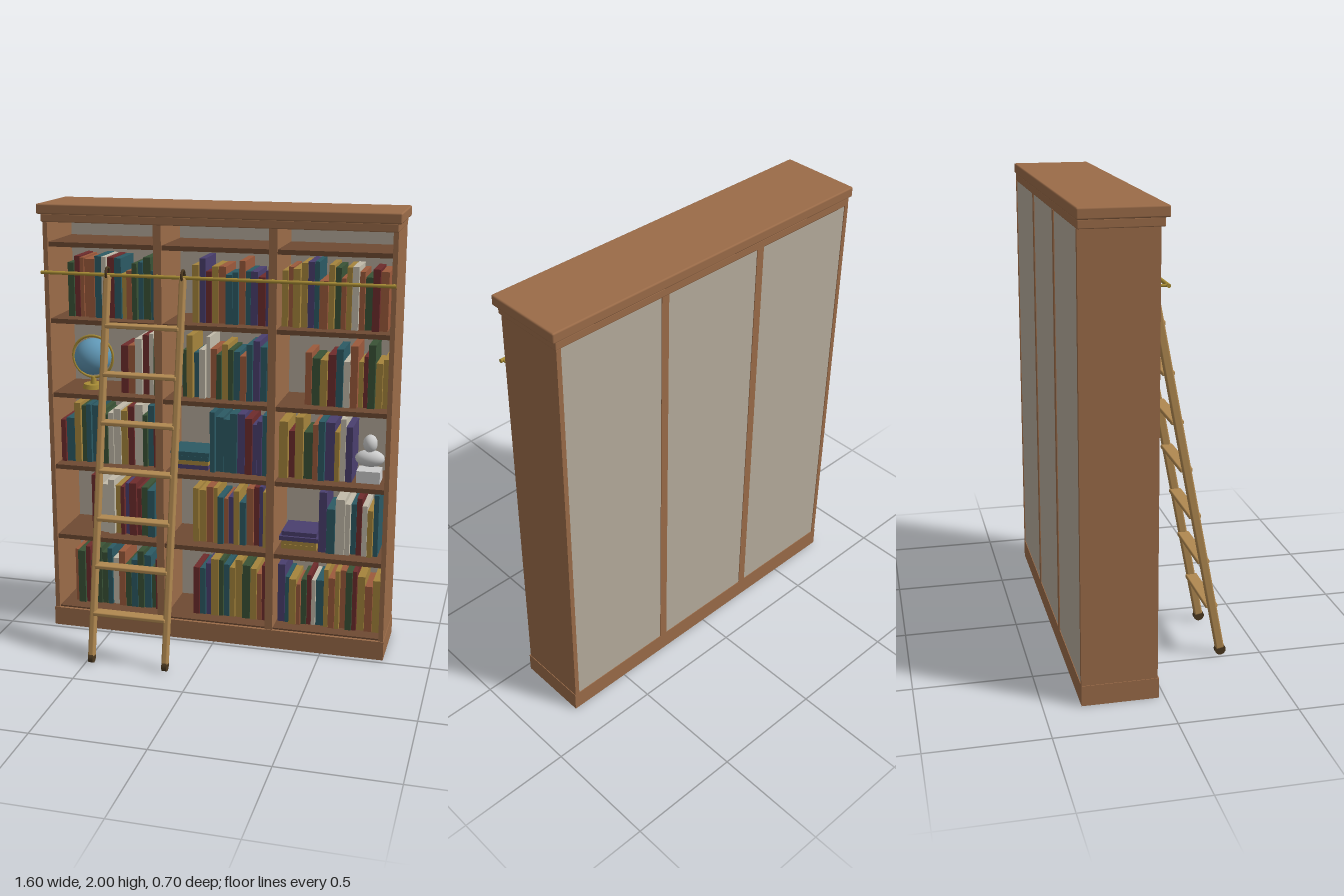
import * as THREE from 'three';
import { RoundedBoxGeometry } from 'three/addons/geometries/RoundedBoxGeometry.js';

const mat = (color) => new THREE.MeshStandardMaterial({ color });
const wood = mat(0x9a6b48), shelfWood = mat(0x6e4a32), panelGrey = mat(0xb5ab9b);
const ladderWood = mat(0xb08850), brass = mat(0xa88c35), darkMetal = mat(0x4a3820);
const stone = mat(0xcccccc), ocean = mat(0x5f96b4);
const covers = {
  r: mat(0x6e2c2c), o: mat(0x9c5a3c), y: mat(0xa5843c), g: mat(0x3a5236),
  t: mat(0x2c5a64), n: mat(0x4a3f6e), w: mat(0xc2bbaa),
};

const unitBox = new THREE.BoxGeometry(1, 1, 1);

function add(parent, name, geometry, material, x = 0, y = 0, z = 0) {
  const mesh = new THREE.Mesh(geometry, material);
  mesh.name = name;
  mesh.position.set(x, y, z);
  parent.add(mesh);
  return mesh;
}

// Box given by its limits on each axis
function box(parent, name, material, x0, x1, y0, y1, z0, z1) {
  const mesh = add(parent, name, unitBox, material, (x0 + x1) / 2, (y0 + y1) / 2, (z0 + z1) / 2);
  mesh.scale.set(x1 - x0, y1 - y0, z1 - z0);
  return mesh;
}

let seed = 7;
function rand(min, max) {
  seed = (seed * 16807) % 2147483647;
  return min + (max - min) * (seed / 2147483647);
}

const BACK = -0.345, FRONT = -0.03;
const bays = [[-0.763, -0.275], [-0.239, 0.239], [0.275, 0.763]];
const floors = [0.095, 0.457, 0.8, 1.143, 1.486, 1.83];

function createCabinet() {
  const g = new THREE.Group();
  g.name = 'cabinet';
  box(g, 'plinth', wood, -0.787, 0.787, 0, 0.088, BACK, -0.025);
  for (const s of [-1, 1]) {
    add(g, 'sidePanel', new THREE.BoxGeometry(0.021, 1.836, FRONT - BACK), wood, s * 0.7735, 1.004, (FRONT + BACK) / 2);
    add(g, 'divider', new THREE.BoxGeometry(0.036, 1.836, FRONT - BACK), wood, s * 0.257, 1.004, (FRONT + BACK) / 2);
  }
  add(g, 'corniceMoulding', new RoundedBoxGeometry(1.572, 0.037, 0.332, 2, 0.005), wood, 0, 1.938, -0.179);
  add(g, 'corniceTop', new RoundedBoxGeometry(1.6, 0.045, 0.353, 2, 0.007), wood, 0, 1.9775, -0.1735);
  for (const [x0, x1] of bays) {
    box(g, 'backPanel', panelGrey, x0, x1, 0.088, 1.92, -0.342, -0.33);
    for (const y of floors) box(g, 'shelf', shelfWood, x0, x1, y - 0.021, y, -0.33, -0.04);
  }
  return g;
}

// Row of upright books; each letter is a cover colour
function bookRow(parent, y, x0, x1, colours) {
  const widths = [...colours].map(() => rand(0.7, 1.4));
  const unit = (x1 - x0) / widths.reduce((a, b) => a + b);
  let x = x0;
  widths.forEach((w, i) => {
    const front = -0.1 - rand(0, 0.025);
    box(parent, 'book', covers[colours[i]], x, x + w * unit - 0.002, y, y + rand(0.2, 0.29), front - 0.18, front);
    x += w * unit;
  });
}

// Pile of books lying flat
function bookStack(parent, y, x0, x1, colours) {
  [...colours].forEach((c, i) => {
    const inset = rand(0, 0.015);
    box(parent, 'stackedBook', covers[c], x0 + inset, x1 - inset, y + i * 0.021, y + i * 0.021 + 0.02, -0.29 + inset, -0.11 - inset);
  });
}

function createBooks() {
  const g = new THREE.Group();
  g.name = 'books';
  const rows = [
    [0, -0.71, -0.28, 'ogrgggtwogtgtgr'], [0, -0.12, 0.236, 'rtnygtyygyor'], [0, 0.28, 0.757, 'ntyogrwtyoyogryoy'],
    [1, -0.62, -0.285, 'rwwwyrnrrgtn'], [1, -0.12, 0.236, 'yyoytonytorny'], [1, 0.465, 0.735, 'ntwwtrwyt'],
    [2, -0.755, -0.28, 'rtygttggwwyrwgtr'], [2, -0.04, 0.236, 'ttttnrnnt'], [2, 0.28, 0.61, 'yrygotnywn'],
    [3, -0.46, -0.28, 'rowrwg'], [3, -0.17, 0.238, 'gytwwogygtotntt'], [3, 0.39, 0.757, 'ogyrtwoyrgyy'],
    [4, -0.705, -0.28, 'groootwrtyogtgt'], [4, -0.12, 0.238, 'ynryottotnrn'], [4, 0.28, 0.745, 'yoyyntoygoywogro'],
  ];
  for (const [row, x0, x1, colours] of rows) bookRow(g, floors[row], x0, x1, colours);
  bookStack(g, floors[1], 0.283, 0.465, 'yynn');
  bookStack(g, floors[2], -0.238, -0.04, 'nytt');
  return g;
}

function createGlobe() {
  const g = new THREE.Group();
  g.name = 'globe';
  add(g, 'globeBase', new THREE.CylinderGeometry(0.045, 0.052, 0.02, 24), brass, 0, 0.01);
  add(g, 'globeStem', new THREE.CylinderGeometry(0.01, 0.016, 0.035, 16), brass, 0, 0.035);
  add(g, 'globeRing', new THREE.TorusGeometry(0.097, 0.006, 8, 40), brass, 0, 0.147);
  add(g, 'globeBall', new THREE.SphereGeometry(0.085, 32, 20), ocean, 0, 0.147);
  const axle = add(g, 'globeAxle', new THREE.CylinderGeometry(0.004, 0.004, 0.195, 8), brass, 0, 0.147);
  axle.rotation.z = 0.4;
  g.position.set(-0.618, floors[3], -0.18);
  return g;
}

function createBust() {
  const g = new THREE.Group();
  g.name = 'bust';
  add(g, 'bustBase', new THREE.BoxGeometry(0.105, 0.055, 0.09), stone, 0, 0.0275);
  add(g, 'bustNeck', new THREE.CylinderGeometry(0.018, 0.026, 0.05, 16), stone, 0, 0.135);
  const ball = new THREE.SphereGeometry(1, 24, 16);
  add(g, 'bustShoulders', ball, stone, 0, 0.105).scale.set(0.066, 0.038, 0.042);
  add(g, 'bustHead', ball, stone, 0, 0.173).scale.set(0.032, 0.04, 0.036);
  g.position.set(0.68, floors[2], -0.16);
  return g;
}

function createRail() {
  const g = new THREE.Group();
  g.name = 'ladderRail';
  add(g, 'rail', new THREE.CylinderGeometry(0.008, 0.008, 1.57, 16), brass, 0, 1.7, 0).rotation.z = Math.PI / 2;
  for (const x of [-0.773, -0.257, 0.257, 0.773]) {
    add(g, 'railBracket', new THREE.CylinderGeometry(0.006, 0.006, 0.032, 10), brass, x, 1.7, -0.016).rotation.x = Math.PI / 2;
  }
  return g;
}

function createLadder() {
  const g = new THREE.Group();
  g.name = 'ladder';
  const bottom = { y: 0.03, z: 0.325 }, top = { y: 1.7, z: 0.003 };
  const dy = top.y - bottom.y, dz = top.z - bottom.z;
  for (const x of [-0.474, -0.131]) {
    const stile = add(g, 'stile', new RoundedBoxGeometry(0.028, Math.hypot(dy, dz), 0.038, 2, 0.008), ladderWood,
      x, (top.y + bottom.y) / 2, (top.z + bottom.z) / 2);
    stile.rotation.x = Math.atan2(dz, dy);
    add(g, 'footWheel', new THREE.CylinderGeometry(0.024, 0.024, 0.022, 20), darkMetal, x, 0.025, 0.326).rotation.z = Math.PI / 2;
    add(g, 'railHook', new THREE.TorusGeometry(0.024, 0.006, 8, 24), darkMetal, x, 1.708, 0.002).rotation.y = Math.PI / 2;
  }
  for (let i = 0; i < 7; i++) {
    const y = 0.228 + i * 0.2095;
    const z = bottom.z + dz * (y - bottom.y) / dy;
    add(g, 'tread', new RoundedBoxGeometry(0.335, 0.018, 0.054, 2, 0.005), ladderWood, -0.3025, y, z);
  }
  return g;
}

export function createModel() {
  seed = 7;
  const model = new THREE.Group();
  model.name = 'libraryBookcase';
  model.add(createCabinet(), createBooks(), createGlobe(), createBust(), createRail(), createLadder());
  return model;
}
